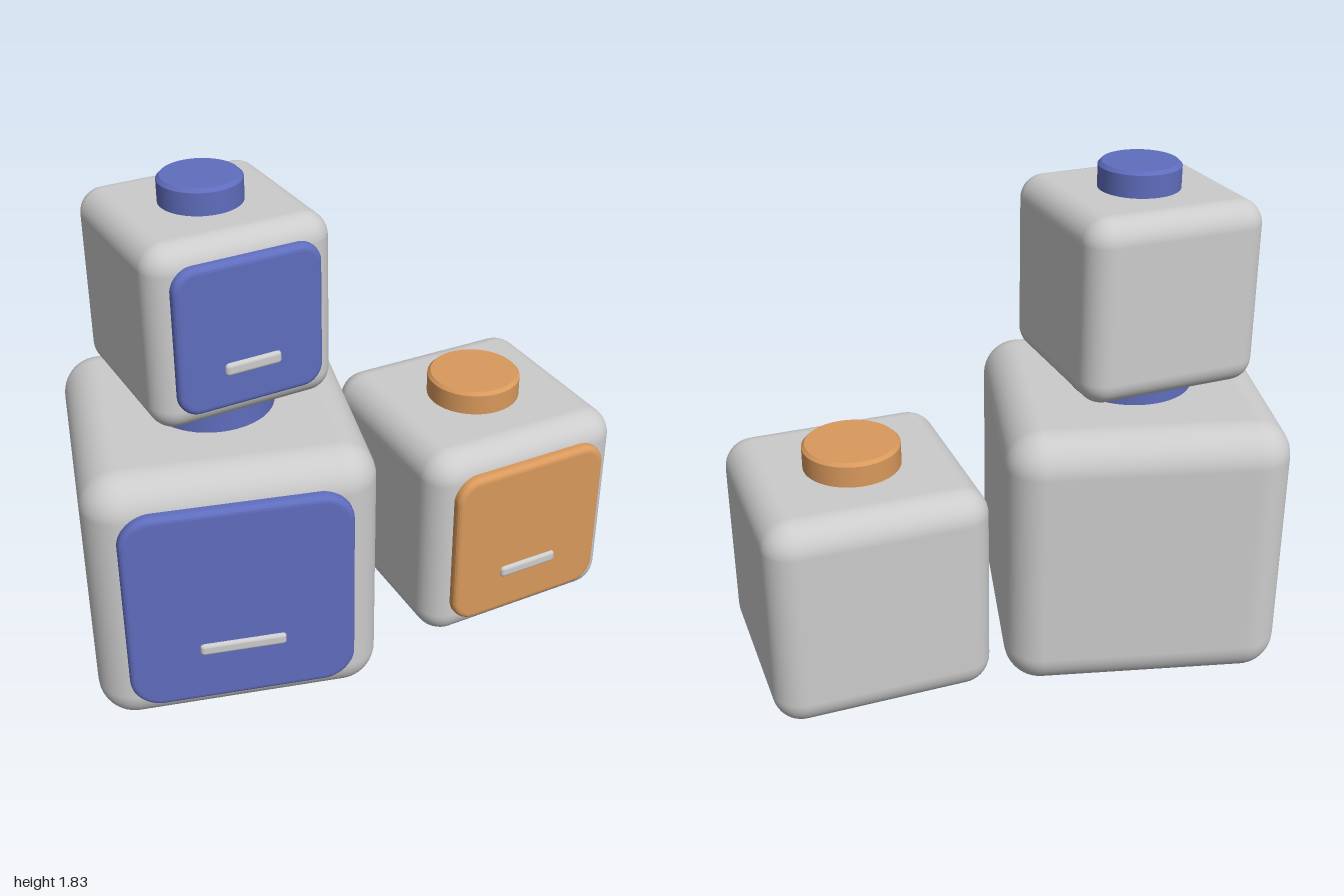
import * as THREE from 'three';
import { RoundedBoxGeometry } from 'three/addons/geometries/RoundedBoxGeometry.js';

const grey = new THREE.MeshStandardMaterial({ color: 0xcccccc });
const blue = new THREE.MeshStandardMaterial({ color: 0x5f6dbd });
const orange = new THREE.MeshStandardMaterial({ color: 0xd9995c });

function addMesh(parent, name, geometry, material, x, y, z) {
  const mesh = new THREE.Mesh(geometry, material);
  mesh.name = name;
  mesh.position.set(x, y, z);
  parent.add(mesh);
  return mesh;
}

// Rounded square plate with a soft front edge, from z = 0 to z = depth
function plateGeometry(size, corner, depth, bevel) {
  const h = size / 2 - bevel, r = corner - bevel;
  const shape = new THREE.Shape();
  shape.absarc(h - r, h - r, r, 0, Math.PI / 2);
  shape.absarc(-h + r, h - r, r, Math.PI / 2, Math.PI);
  shape.absarc(-h + r, -h + r, r, Math.PI, Math.PI * 1.5);
  shape.absarc(h - r, -h + r, r, Math.PI * 1.5, Math.PI * 2);
  const geometry = new THREE.ExtrudeGeometry(shape, {
    depth: depth - 2 * bevel, bevelThickness: bevel, bevelSize: bevel,
    bevelSegments: 4, curveSegments: 8,
  });
  return geometry.translate(0, 0, bevel);
}

// Round knob with a small chamfer, standing on y = 0
function knobGeometry(radius, height) {
  const c = 0.012;
  const side = new THREE.CylinderGeometry(radius, radius, height - c, 48, 1, true);
  side.translate(0, (height - c) / 2, 0);
  const cap = new THREE.CylinderGeometry(radius - c, radius, c, 48);
  cap.translate(0, height - c / 2, 0);
  return [side, cap];
}

// One block: rounded body, front panel, handle bar and top knob
function makeBlock(o) {
  const block = new THREE.Group();
  block.name = o.name;
  const s = o.size, half = s / 2;

  addMesh(block, 'body', new RoundedBoxGeometry(s, s, s, 6, s * 0.132), grey, 0, half, 0);

  const depth = 0.08, front = half + o.raise;
  addMesh(block, 'frontPanel', plateGeometry(o.panel, o.panel * 0.145, depth, 0.022),
    o.color, 0, half + 0.004, front - depth);

  addMesh(block, 'handleBar', new RoundedBoxGeometry(o.bar, 0.046, 0.04, 3, 0.014),
    grey, 0, o.barY, front - 0.008);

  const knob = new THREE.Group();
  knob.name = 'topKnob';
  knob.position.y = s;
  const [side, cap] = knobGeometry(o.knob, o.knobHeight);
  addMesh(knob, 'knobSide', side, o.color, 0, 0, 0);
  addMesh(knob, 'knobCap', cap, o.color, 0, 0, 0);
  block.add(knob);

  block.position.set(...o.at);
  block.rotation.y = o.turn;
  return block;
}

export function createModel() {
  const model = new THREE.Group();
  model.name = 'stackedBlocks';
  model.add(
    makeBlock({
      name: 'largeBlock', size: 1, at: [-0.48, 0, 0.003], turn: -0.055, color: blue,
      panel: 0.79, raise: 0.035, bar: 0.3, barY: 0.335, knob: 0.22, knobHeight: 0.087,
    }),
    makeBlock({
      name: 'upperBlock', size: 0.655, at: [-0.473, 1.085, -0.033], turn: 0.23, color: blue,
      panel: 0.52, raise: 0.03, bar: 0.2, barY: 0.217, knob: 0.143, knobHeight: 0.09,
    }),
    makeBlock({
      name: 'sideBlock', size: 0.8, at: [0.548, 0, -0.115], turn: 0.2, color: orange,
      panel: 0.63, raise: 0.035, bar: 0.24, barY: 0.27, knob: 0.175, knobHeight: 0.09,
    }),
  );
  return model;
}
